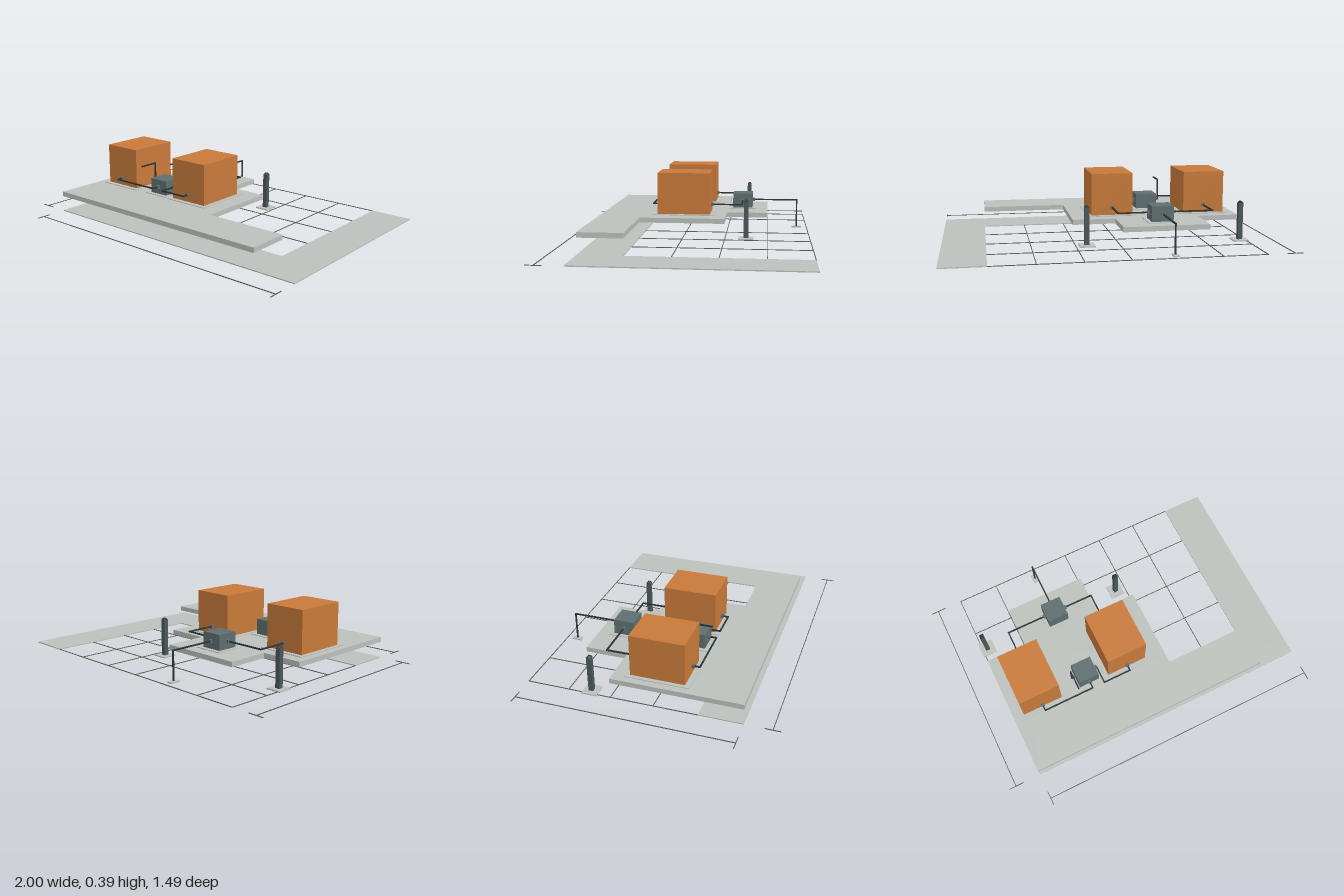
import * as THREE from 'three';

export function createModel() {
  const root = new THREE.Group();
  const mat = (name, color) => {
    const m = new THREE.MeshStandardMaterial({ color });
    m.name = name;
    return m;
  };
  const concrete = mat('concrete', 0xbcc1bc);
  const orange = mat('orange', 0xc87a3a);
  const steel = mat('steel', 0x5f6e70);
  const postGrey = mat('post grey', 0x4c585a);
  const pipeDark = mat('pipe dark', 0x2c3437);
  const lineGrey = mat('line grey', 0x5c6060);

  // Box given by its minimum and maximum corners
  const box = (name, m, [x0, y0, z0], [x1, y1, z1], parent = root) => {
    const mesh = new THREE.Mesh(new THREE.BoxGeometry(x1 - x0, y1 - y0, z1 - z0), m);
    mesh.position.set((x0 + x1) / 2, (y0 + y1) / 2, (z0 + z1) / 2);
    mesh.name = name;
    parent.add(mesh);
    return mesh;
  };

  // Horizontal slab from an outline of [x, z] points
  const slab = (name, m, outline, y, height) => {
    const shape = new THREE.Shape(outline.map(([x, z]) => new THREE.Vector2(x, -z)));
    const geo = new THREE.ExtrudeGeometry(shape, { depth: height, bevelEnabled: false });
    geo.rotateX(-Math.PI / 2);
    const mesh = new THREE.Mesh(geo, m);
    mesh.position.y = y;
    mesh.name = name;
    root.add(mesh);
  };

  // Square pipe run along axis-aligned corner points
  const pipe = (name, points, r = 0.004) => {
    const group = new THREE.Group();
    group.name = name;
    for (let i = 0; i + 1 < points.length; i++) {
      const a = points[i], b = points[i + 1];
      box('pipeSegment', pipeDark,
        a.map((v, k) => Math.min(v, b[k]) - r),
        a.map((v, k) => Math.max(v, b[k]) + r), group);
    }
    root.add(group);
  };

  // L-shaped ground paving
  slab('groundPaving', concrete, [
    [-0.795, 0.28], [0.74, 0.28], [0.74, -0.745], [0.997, -0.745], [0.997, 0.535], [-0.795, 0.535],
  ], 0, 0.006);

  // Raised stepped deck
  slab('deck', concrete, [
    [-0.795, -0.235], [-0.54, -0.235], [-0.54, -0.49], [-0.03, -0.49], [-0.03, -0.235],
    [0.228, -0.235], [0.228, 0.278], [0.74, 0.278], [0.74, 0.535], [-0.795, 0.535],
  ], 0.1, 0.03);

  // Grid and dimension lines on the ground
  const w = 0.002;
  const lineX = (name, z, x0, x1) => box(name, lineGrey, [x0, 0.001, z - w], [x1, 0.005, z + w]);
  const lineZ = (name, x, z0, z1) => box(name, lineGrey, [x - w, 0.001, z0], [x + w, 0.005, z1]);
  for (const z of [-0.745, -0.49, -0.235, 0.02]) lineX('gridLine', z, -0.795, 0.74);
  for (const x of [-0.795, -0.54, -0.03, 0.228, 0.485]) lineZ('gridLine', x, -0.745, 0.28);
  lineX('widthLine', 0.695, -0.795, 0.997);
  for (const x of [-0.795, 0.996]) lineZ('widthTick', x, 0.65, 0.74);
  lineZ('depthLine', -0.955, -0.745, 0.535);
  for (const z of [-0.745, 0.535]) lineX('depthTick', z, -1, -0.905);

  // Tanks with base pads and pipe ports
  for (const x of [-0.602, -0.027]) {
    box('tankPad', concrete, [x - 0.15, 0.13, -0.165], [x + 0.15, 0.134, 0.215]);
    box('tank', orange, [x - 0.127, 0.134, -0.137], [x + 0.127, 0.388, 0.185]);
    box('tankFrontPort', steel, [x - 0.01, 0.17, 0.185], [x + 0.01, 0.19, 0.2]);
    box('tankBackPort', steel, [x - 0.01, 0.17, -0.152], [x + 0.01, 0.19, -0.137]);
  }

  // Pumps with side ports, plus one port on the outer face
  for (const [z, side] of [[0.117, 1], [-0.33, -1]]) {
    const x = -0.282;
    box('pumpPad', concrete, [x - 0.09, 0.13, z - 0.09], [x + 0.09, 0.134, z + 0.09]);
    box('pump', steel, [x - 0.065, 0.134, z - 0.063], [x + 0.065, 0.226, z + 0.063]);
    for (const s of [-1, 1]) {
      const px = x + s * 0.072;
      box('pumpSidePort', steel, [px - 0.008, 0.17, z - 0.01], [px + 0.008, 0.19, z + 0.01]);
    }
    const pz = z + side * 0.07;
    box('pumpOuterPort', steel, [x - 0.01, 0.17, pz - 0.008], [x + 0.01, 0.19, pz + 0.008]);
  }

  // Pipework
  const h = 0.18;
  for (const [px, tx] of [[-0.347, -0.602], [-0.217, -0.027]]) {
    pipe('backTankPipe', [[px, h, -0.33], [tx, h, -0.33], [tx, h, -0.14]]);
  }
  pipe('supplyPipe', [[-0.282, h, -0.39], [-0.282, h, -0.68], [-0.282, 0.006, -0.68]]);
  pipe('frontRightPipe', [[-0.602, h, 0.185], [-0.602, h, 0.23], [-0.282, h, 0.23], [-0.282, h, 0.18]]);
  pipe('frontLeftPipe', [[-0.027, h, 0.185], [-0.027, h, 0.23], [-0.203, h, 0.23],
    [-0.203, h, 0.117], [-0.217, h, 0.117]]);
  pipe('ventPipe', [[-0.347, h, 0.117], [-0.371, h, 0.117], [-0.371, 0.308, 0.117], [-0.371, 0.308, 0.23]]);
  box('supplyFoot', concrete, [-0.299, 0, -0.71], [-0.267, 0.008, -0.65]);

  // Bollards with square feet and pointed caps
  for (const x of [-0.763, 0.163]) {
    box('postFoot', concrete, [x - 0.046, 0, -0.408], [x + 0.046, 0.007, -0.316]);
    box('post', postGrey, [x - 0.014, 0.007, -0.376], [x + 0.014, 0.228, -0.348]);
    const cap = new THREE.Mesh(new THREE.CylinderGeometry(0.009, 0.0195, 0.01, 4), pipeDark);
    cap.rotation.y = Math.PI / 4;
    cap.position.set(x, 0.233, -0.362);
    cap.name = 'postCap';
    root.add(cap);
  }
  return root;
}
